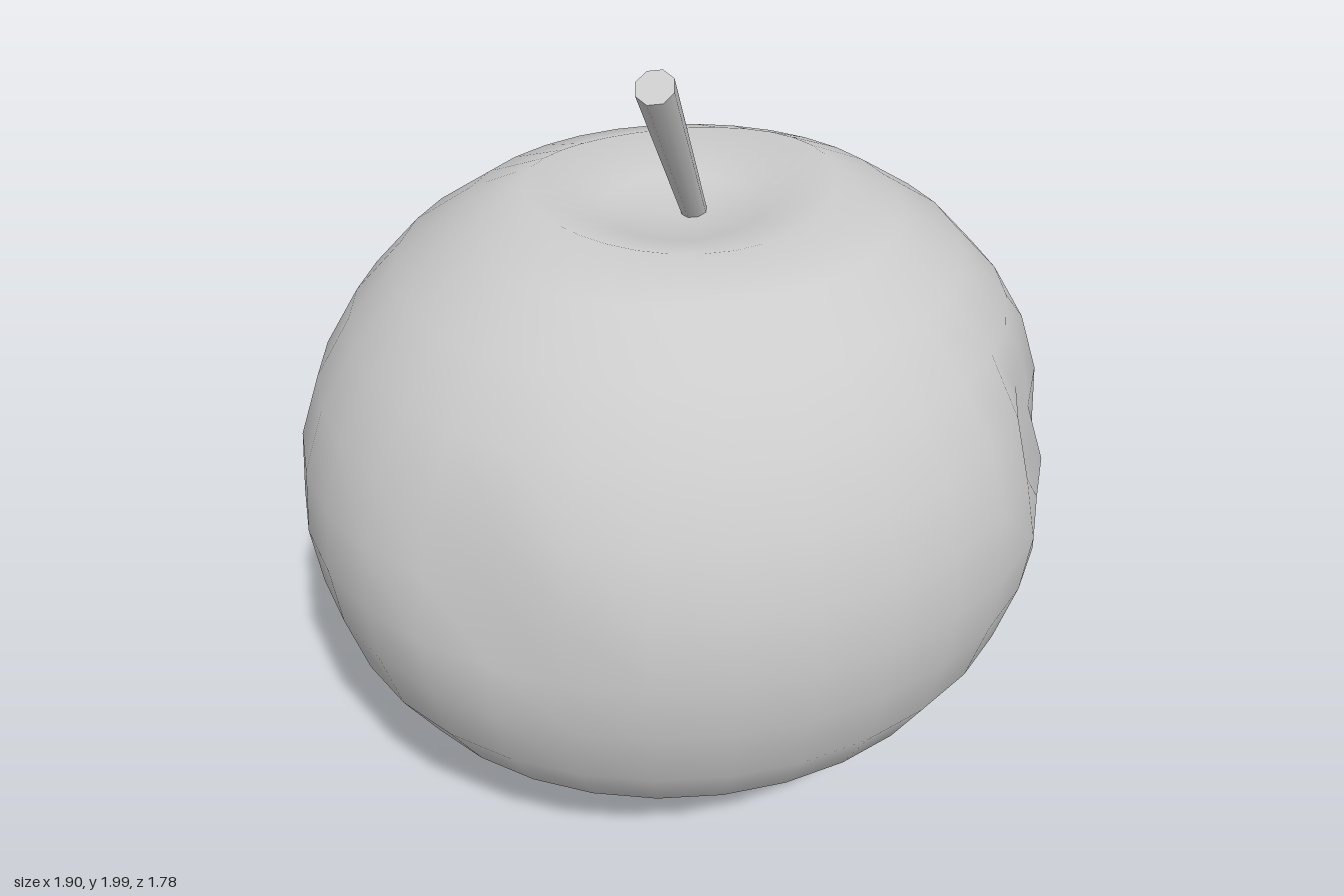
import * as THREE from 'three';

// Half profile from the bottom pole, over the shoulder, into the dimple: [radius, y]
const PROFILE = [
  [0, 0.01], [0.19, 0.025], [0.35, 0.065], [0.5, 0.14], [0.66, 0.25], [0.8, 0.375],
  [0.89, 0.52], [0.94, 0.69], [0.96, 0.85], [0.945, 1.02], [0.89, 1.18], [0.8, 1.33],
  [0.68, 1.46], [0.53, 1.56], [0.37, 1.608], [0.19, 1.56], [0, 1.535],
];

// Soft dents pressed into the flesh: centre, radius, depth
const DENTS = [
  { at: [0.81, 1.05, 0.45], radius: 0.32, depth: 0.08 },
  { at: [0.96, 0.85, 0], radius: 0.22, depth: 0.015 },
  { at: [-0.69, 1.02, 0.6], radius: 0.25, depth: 0.045 },
].map((d) => ({ ...d, at: new THREE.Vector3(...d.at) }));

function createBody(material) {
  const points = PROFILE.map(([r, y]) => new THREE.Vector2(r, y));
  const geometry = new THREE.LatheGeometry(points, 32);
  const pos = geometry.attributes.position;
  const normal = geometry.attributes.normal;
  const p = new THREE.Vector3();
  const core = new THREE.Vector3(0, 0.85, 0);

  for (let i = 0; i < pos.count; i++) {
    p.fromBufferAttribute(pos, i);
    const r = Math.hypot(p.x, p.z);
    // Rim of the dimple rises on the two sides
    if (p.y > 1.5 && r > 0.01) {
      const bump = Math.max(0, 1 - Math.abs(r - 0.37) / 0.16);
      p.y += 0.028 * bump * (p.x / r) ** 2;
    }
    // Slightly flattened front to back
    p.z *= 0.925;
    for (const { at, radius, depth } of DENTS) {
      const d = p.distanceTo(at) / radius;
      if (d < 1) {
        const inward = core.clone().sub(p).normalize();
        p.addScaledVector(inward, depth * (1 - d * d) ** 2);
      }
    }
    pos.setXYZ(i, p.x, p.y, p.z);
  }
  geometry.computeVertexNormals();

  // Match normals across the lathe seam and at the poles
  const rings = PROFILE.length;
  const last = 32 * rings;
  for (let j = 0; j < rings; j++) {
    const n = new THREE.Vector3().fromBufferAttribute(normal, j);
    n.add(new THREE.Vector3().fromBufferAttribute(normal, last + j)).normalize();
    if (j === 0) n.set(0, -1, 0);
    if (j === rings - 1) n.set(0, 1, 0);
    const pole = j === 0 || j === rings - 1;
    for (let s = 0; s <= 32; s += pole ? 1 : 32) normal.setXYZ(s * rings + j, n.x, n.y, n.z);
  }

  const body = new THREE.Mesh(geometry, material);
  body.name = 'fruitBody';
  return body;
}

// Straight leaning stem, a little thicker at the tip
function createStem(material) {
  const base = new THREE.Vector3(0.05, 1.51, -0.025);
  const tip = new THREE.Vector3(-0.15, 1.97, 0.255);
  const axis = tip.clone().sub(base);
  const geometry = new THREE.CylinderGeometry(0.045, 0.03, axis.length(), 8);
  const stem = new THREE.Mesh(geometry, material);
  stem.position.copy(base).add(tip).multiplyScalar(0.5);
  stem.quaternion.setFromUnitVectors(new THREE.Vector3(0, 1, 0), axis.normalize());
  stem.name = 'stem';
  return stem;
}

export function createModel() {
  const group = new THREE.Group();
  group.name = 'apple';
  const material = new THREE.MeshStandardMaterial({ color: 0xcccccc });
  group.add(createBody(material), createStem(material));
  return group;
}
